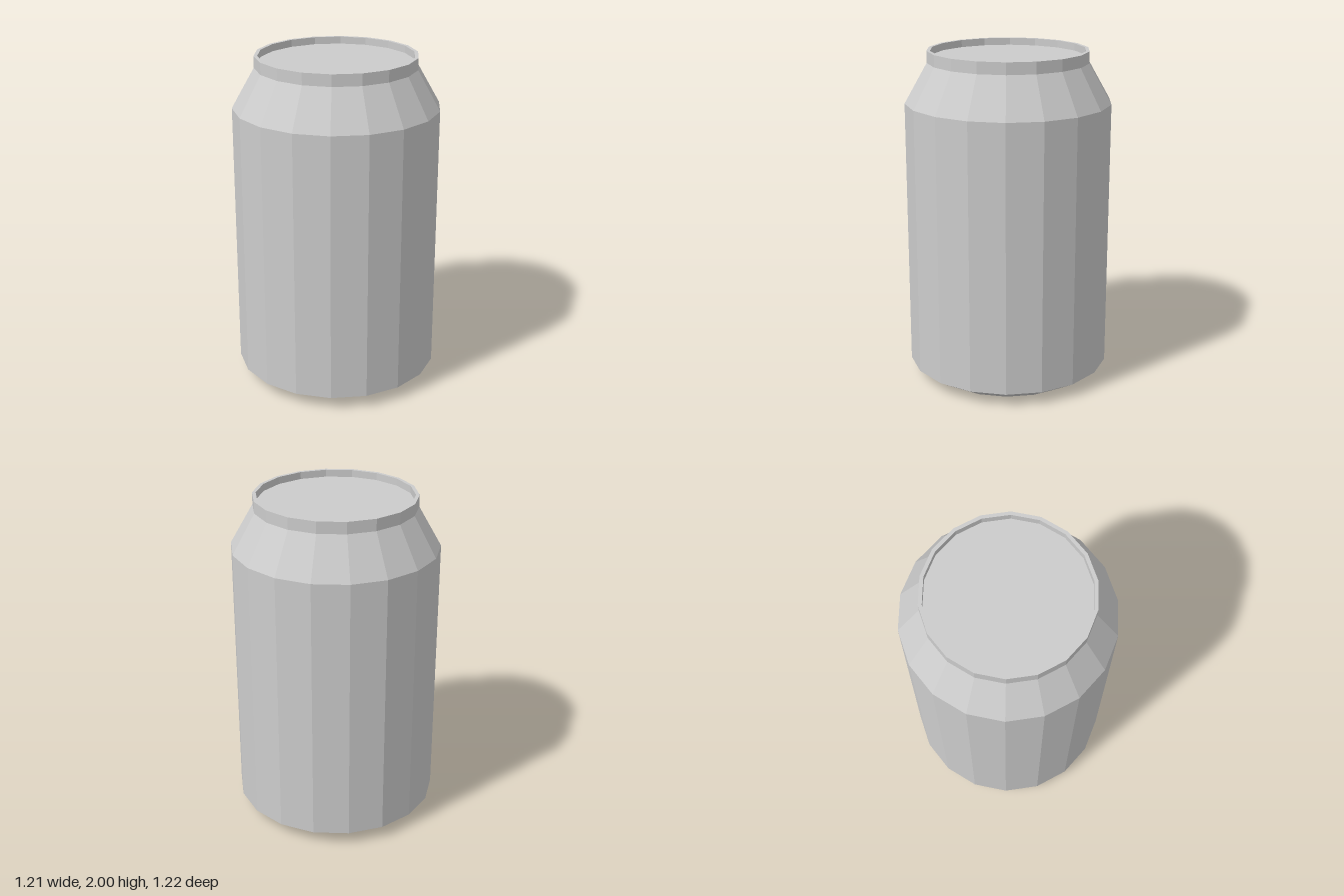
import * as THREE from 'three';

const SIDES = 18;
const TURN = -0.02; // slight twist of the facets

export function createModel() {
  const can = new THREE.Group();
  can.name = 'drinkCan';
  const metal = new THREE.MeshStandardMaterial({ color: 0xcccccc, flatShading: true });
  metal.name = 'bareMetal';

  // Each part is a revolved [radius, height] profile, running from bottom centre to lid centre
  const addPart = (name, profile) => {
    const points = profile.map(([r, y]) => new THREE.Vector2(r, y));
    const mesh = new THREE.Mesh(new THREE.LatheGeometry(points, SIDES, TURN), metal);
    mesh.name = name;
    can.add(mesh);
  };

  // Recessed base with its standing ring
  addPart('base', [[0, 0.05], [0.305, 0.05], [0.43, 0], [0.485, 0.003]]);
  addPart('bottomChamfer', [[0.485, 0.003], [0.612, 0.08]]);
  addPart('body', [[0.612, 0.08], [0.612, 1.695]]);
  addPart('shoulder', [[0.612, 1.695], [0.478, 1.93]]);
  // Raised rim around the sunken lid
  addPart('rim', [[0.478, 1.93], [0.478, 2], [0.457, 2], [0.457, 1.957]]);
  addPart('lid', [[0.457, 1.957], [0, 1.957]]);

  return can;
}
